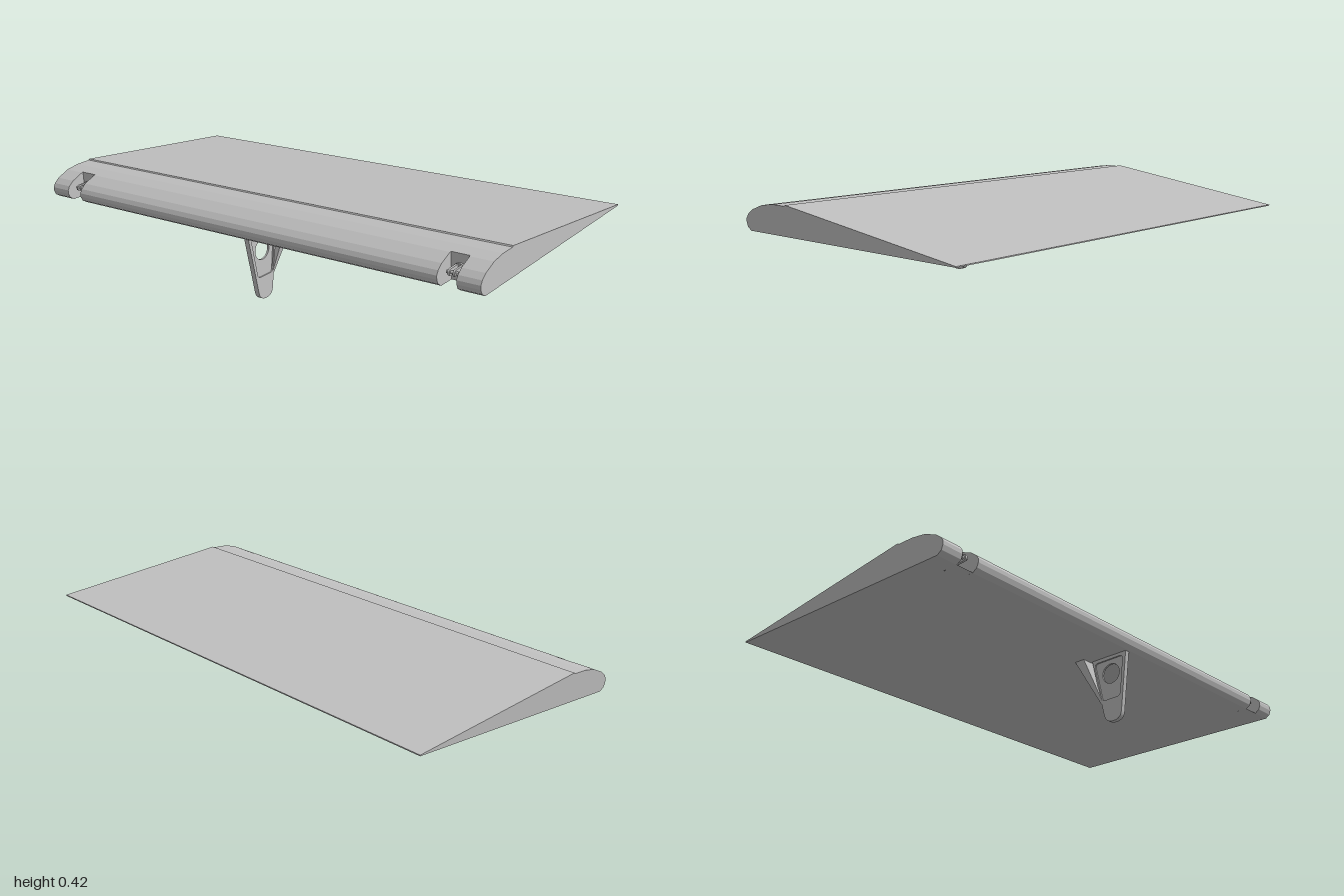
import * as THREE from 'three';

const LEFT = -0.979, RIGHT = 1.011;      // span in the panel's own frame
const NOTCHES = [-0.855, 0.887], HALF = 0.036, NOTCH_Z = 0.4;

// Side profile as [z, y], running along the top from nose to trailing edge
const NOSE = [
  [0.46, 0.254], [0.478, 0.266], [0.485, 0.283], [0.485, 0.297],
  [0.476, 0.312], [0.455, 0.329], [0.405, 0.35],
];
const TOP = [[0.4, 0.351], [0.35, 0.359], [0.29, 0.36], [0.286, 0.364], [-0.485, 0.274], [-0.485, 0.27]];
const NOTCH_FLOOR = [0.4, 0.255];

// Extrude a [z, y] shape along x
function alongX(shape, x0, x1) {
  const geo = new THREE.ExtrudeGeometry(shape, { depth: x1 - x0, bevelEnabled: false, curveSegments: 10 });
  geo.rotateY(Math.PI / 2);
  geo.translate(x0, 0, 0);
  return geo;
}

const outline = (points) => new THREE.Shape(points.map(([z, y]) => new THREE.Vector2(-z, y)));

// Tapered shape with rounded bottom corners, as [z, y]
function taper(Type, zMid, top, bottom, halfTop, halfBottom, r) {
  const s = new Type();
  const k = (halfTop - halfBottom) / (top - bottom);
  s.moveTo(-zMid - halfTop, top);
  s.lineTo(-zMid - halfBottom - k * r, bottom + r);
  s.quadraticCurveTo(-zMid - halfBottom, bottom, -zMid - halfBottom + r, bottom);
  s.lineTo(-zMid + halfBottom - r, bottom);
  s.quadraticCurveTo(-zMid + halfBottom, bottom, -zMid + halfBottom + k * r, bottom + r);
  s.lineTo(-zMid + halfTop, top);
  s.closePath();
  return s;
}

export function createModel() {
  const model = new THREE.Group();
  model.name = 'controlSurface';
  const tilted = new THREE.Group();
  tilted.name = 'tiltedAssembly';
  tilted.rotation.z = 0.061;
  model.add(tilted);

  const grey = new THREE.MeshStandardMaterial({ color: 0xbfbfbf });
  grey.name = 'light grey';
  const add = (name, geo, parent = tilted) => {
    const mesh = new THREE.Mesh(geo, grey);
    mesh.name = name;
    parent.add(mesh);
    return mesh;
  };

  // Main panel behind the notches
  add('panel', alongX(outline([NOTCH_FLOOR, ...TOP]), LEFT, RIGHT));

  // Rounded nose in three pieces, leaving the hinge notches open
  const nose = outline([...NOSE, TOP[0], NOTCH_FLOOR]);
  const cuts = [LEFT, ...NOTCHES.flatMap((x) => [x - HALF, x + HALF]), RIGHT];
  for (let i = 0; i < cuts.length; i += 2) add('nose', alongX(nose, cuts[i], cuts[i + 1]));

  for (const x of NOTCHES) {
    const hinge = new THREE.Group();
    hinge.name = 'hinge';
    hinge.position.x = x;
    tilted.add(hinge);

    // Underside skin across the notch, facing down
    const skin = new THREE.PlaneGeometry(2 * HALF, 0.06);
    skin.rotateX(Math.PI / 2);
    skin.translate(0, 0.2545, 0.43);
    add('notchSkin', skin, hinge);

    // Base, lug with eye and pin
    const base = new THREE.CylinderGeometry(0.024, 0.024, 0.008, 16);
    base.rotateX(Math.PI / 2);
    base.scale(1, 0.7, 1);
    base.translate(0, 0.302, 0.404);
    add('hingeBase', base, hinge);

    const lug = new THREE.Shape();
    lug.moveTo(-0.4, 0.288);
    lug.lineTo(-0.445, 0.29);
    lug.absarc(-0.447, 0.302, 0.012, -Math.PI / 2, Math.PI / 2, true);
    lug.lineTo(-0.4, 0.316);
    const eye = new THREE.Path();
    eye.absarc(-0.447, 0.302, 0.006, 0, Math.PI * 2, true);
    lug.holes.push(eye);
    for (const side of [-1, 1]) add('hingeLug', alongX(lug, side * 0.01 - 0.004, side * 0.01 + 0.004), hinge);

    const pin = new THREE.CylinderGeometry(0.006, 0.006, 0.044, 10);
    pin.rotateZ(Math.PI / 2);
    pin.translate(0, 0.302, 0.447);
    add('hingePin', pin, hinge);
  }

  // Control horn: raised frame around a thin web with a round hole
  const horn = new THREE.Group();
  horn.name = 'controlHorn';
  horn.position.x = 0.022;
  tilted.add(horn);

  const frame = taper(THREE.Shape, 0.375, 0.256, 0, 0.077, 0.034, 0.032);
  const recess = taper(THREE.Path, 0.372, 0.228, 0.088, 0.062, 0.04, 0.014);
  recess.curves.pop();
  recess.quadraticCurveTo(-0.372 + 0.064, 0.243, -0.372 + 0.046, 0.243);
  recess.lineTo(-0.372 - 0.046, 0.243);
  recess.quadraticCurveTo(-0.372 - 0.064, 0.243, -0.372 - 0.062, 0.228);
  frame.holes.push(recess);
  add('hornFrame', alongX(frame, -0.01, 0.01), horn);

  const web = taper(THREE.Shape, 0.372, 0.25, 0.084, 0.066, 0.043, 0.014);
  const hole = new THREE.Path();
  hole.absarc(-0.375, 0.188, 0.038, 0, Math.PI * 2, true);
  web.holes.push(hole);
  add('hornWeb', alongX(web, -0.004, 0.004), horn);

  // Flared gusset behind the horn, thinning toward its lower tip
  const flare = new THREE.Shape([
    new THREE.Vector2(-0.008, 0.08), new THREE.Vector2(0.008, 0.08),
    new THREE.Vector2(0.05, 0.258), new THREE.Vector2(-0.05, 0.258),
  ]);
  const gusset = new THREE.ExtrudeGeometry(flare, { depth: 1, bevelEnabled: false });
  const p = gusset.attributes.position;
  for (let i = 0; i < p.count; i++) {
    const t = (p.getY(i) - 0.08) / 0.178;
    const back = 0.324 - 0.076 * t, front = 0.334 - 0.046 * t;
    p.setZ(i, back + (front - back) * p.getZ(i));
  }
  gusset.computeVertexNormals();
  add('hornGusset', gusset, horn);

  return model;
}
